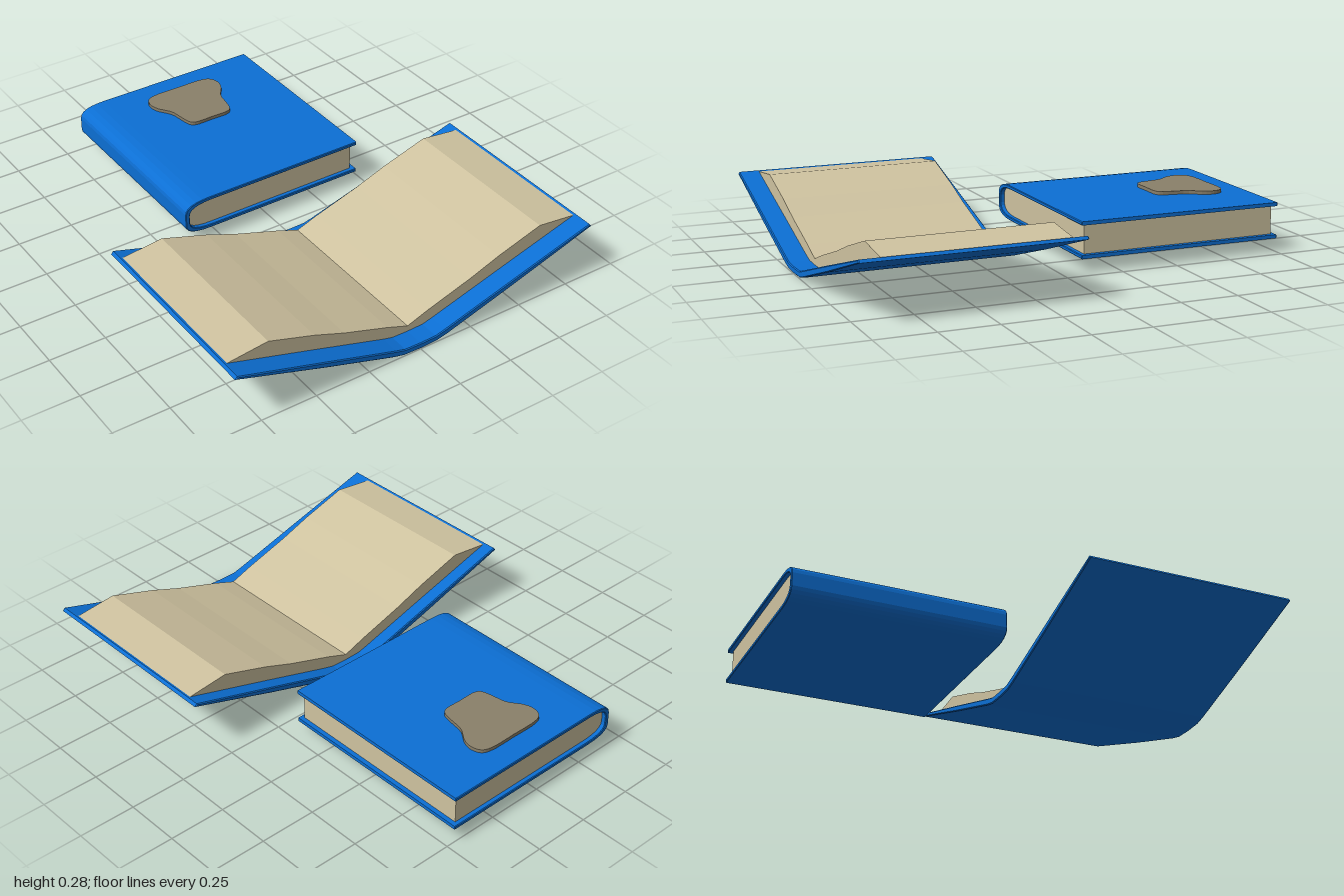
import * as THREE from 'three';

const blue = new THREE.MeshStandardMaterial({ color: 0x0c6fd4, flatShading: true });
const paper = new THREE.MeshStandardMaterial({ color: 0xcfc3a0, flatShading: true });
const badge = new THREE.MeshStandardMaterial({ color: 0x8a806a, flatShading: true });

// Extrudes an x/y profile from z0 to z1
function slab(name, shape, z0, z1, material, bevel = 0) {
  const geo = new THREE.ExtrudeGeometry(shape, {
    depth: z1 - z0 - 2 * bevel, curveSegments: 6,
    bevelEnabled: bevel > 0, bevelSize: bevel, bevelThickness: bevel, bevelOffset: -bevel, bevelSegments: 1,
  });
  geo.translate(0, 0, z0 + bevel);
  const mesh = new THREE.Mesh(geo, material);
  mesh.name = name;
  return mesh;
}

// Closes a half profile (x >= 0, listed outward) with its mirror image
const mirrored = (half) => [...half.map(([x, y]) => [-x, y]).reverse(), ...half.filter(([x]) => x > 0)];
const toShape = (pts) => new THREE.Shape(pts.map(([x, y]) => new THREE.Vector2(x, y)));

function openBook() {
  const book = new THREE.Group();
  book.name = 'openBook';
  const under = mirrored([[0, 0], [0.08, 0.003], [0.13, 0.015], [0.46, 0.118], [0.862, 0.25]]);
  const inner = mirrored([[0, 0.028], [0.075, 0.03], [0.12, 0.042], [0.45, 0.142], [0.852, 0.262]]);
  const leaves = mirrored([[0, 0.055], [0.1, 0.092], [0.31, 0.16], [0.45, 0.213], [0.66, 0.28], [0.85, 0.258]]);

  book.add(slab('openCover', toShape([...under, ...inner.slice().reverse()]), 0.075, 1, blue, 0.004));
  // Page block resting on the inner side of the cover
  const bottom = inner.map(([x, y]) => [x * 0.99, y - 0.003]);
  book.add(slab('openPages', toShape([...bottom, ...leaves.reverse()]), 0.135, 0.91, paper));
  return book;
}

// Block outline whose left side is rounded like a book spine
function spineOutline(path, x0, x1, y0, y1, rx, ry) {
  path.moveTo(x1, y0);
  path.lineTo(x0 + rx, y0);
  path.quadraticCurveTo(x0, y0, x0, y0 + ry);
  path.lineTo(x0, y1 - ry);
  path.quadraticCurveTo(x0, y1, x0 + rx, y1);
  path.lineTo(x1, y1);
  return path;
}

function closedBook() {
  const book = new THREE.Group();
  book.name = 'closedBook';
  // Wrapped cover: outer outline out, inner outline back
  const outer = spineOutline(new THREE.Path(), -0.42, 0.46, 0.06, 0.217, 0.12, 0.05).getPoints(6);
  const inner = spineOutline(new THREE.Path(), -0.4, 0.46, 0.076, 0.201, 0.11, 0.045).getPoints(6);
  book.add(slab('closedCover', new THREE.Shape([...outer, ...inner.reverse()]), -1, -0.08, blue, 0.003));

  const block = spineOutline(new THREE.Shape(), -0.405, 0.44, 0.074, 0.203, 0.11, 0.045);
  block.closePath();
  book.add(slab('closedPages', block, -0.98, -0.1, paper));

  // Raised plate on the cover, wide at the back and narrow at the front
  const half = [[0, 0.89], [0.13, 0.888], [0.165, 0.872], [0.18, 0.83], [0.17, 0.785], [0.13, 0.725],
    [0.118, 0.66], [0.105, 0.608], [0.085, 0.593], [0, 0.592]];
  const outline = [...half, ...half.slice(1, -1).reverse().map(([x, y]) => [-x, y])];
  const curve = new THREE.CatmullRomCurve3(outline.map(([x, y]) => new THREE.Vector3(x + 0.03, y, 0)), true);
  const plate = slab('coverPlate', new THREE.Shape(curve.getPoints(48).map((p) => new THREE.Vector2(p.x, p.y))), 0, 0.025, badge);
  plate.rotation.x = -Math.PI / 2;
  plate.position.y = 0.207;
  book.add(plate);
  return book;
}

export function createModel() {
  const model = new THREE.Group();
  model.name = 'books';
  model.add(openBook(), closedBook());
  return model;
}
